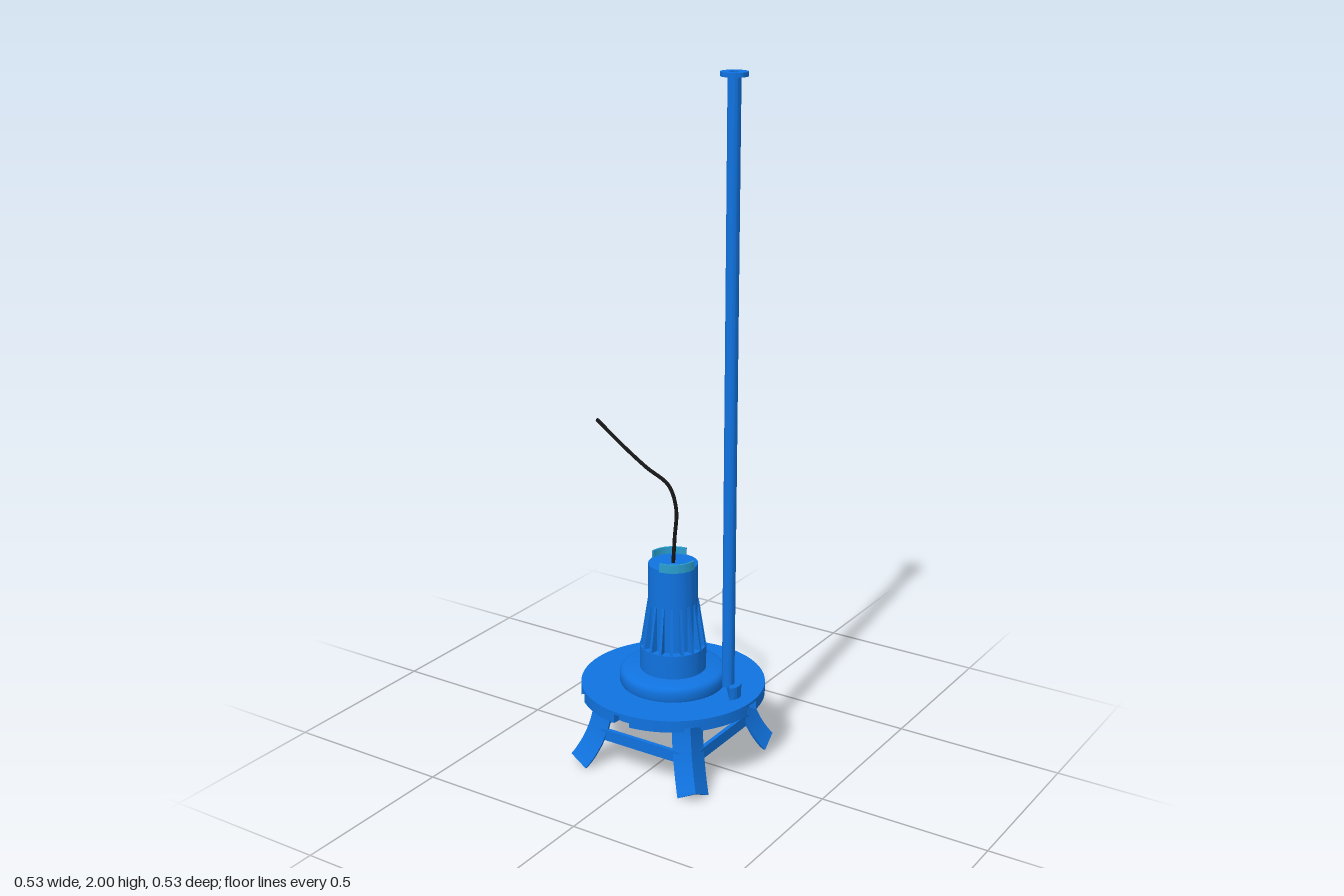
import * as THREE from 'three';
import { toCreasedNormals } from 'three/addons/utils/BufferGeometryUtils.js';

const blue = new THREE.MeshStandardMaterial({ color: 0x1073e0 });
const teal = new THREE.MeshStandardMaterial({ color: 0x2a9fd0 });
const black = new THREE.MeshStandardMaterial({ color: 0x151515 });

export function createModel() {
  const model = new THREE.Group();
  const add = (name, geo, mat = blue, parent = model) => {
    const mesh = new THREE.Mesh(geo, mat);
    mesh.name = name;
    parent.add(mesh);
    return mesh;
  };
  const lathe = (pts, seg = 64) => toCreasedNormals(
    new THREE.LatheGeometry(pts.map(([x, y]) => new THREE.Vector2(x, y)), seg), 0.6);
  // Flat shape lifted to stand between two heights
  const slab = (shape, y0, y1, curveSegments = 24) => toCreasedNormals(
    new THREE.ExtrudeGeometry(shape, { depth: y1 - y0, bevelEnabled: false, curveSegments })
      .rotateX(-Math.PI / 2).translate(0, y0, 0), 0.6);

  // Base plate: round cover over a body with eight notches in the rim
  add('basePlateCover', new THREE.CylinderGeometry(0.267, 0.267, 0.008, 72).translate(0, 0.236, 0));
  const notched = new THREE.Shape();
  const half = 0.094;
  for (let i = 0; i < 8; i++) {
    const a = i * Math.PI / 4;
    notched.absarc(0, 0, 0.245, a - half, a + half, false);
    notched.absarc(0, 0, 0.267, a + half, a + Math.PI / 4 - half, false);
  }
  add('basePlateBody', slab(notched, 0.205, 0.232, 10));

  // Pump casing with rounded shoulder
  add('pumpCasing', lathe([[0, 0.24], [0.153, 0.24], [0.155, 0.245], [0.155, 0.265],
    [0.153, 0.274], [0.147, 0.281], [0.138, 0.284], [0, 0.284]]));

  // Tapered outlet from the casing to the riser pipe
  const px = 0.187, pr = 0.0375;
  const a = Math.acos((0.153 - pr) / px);
  const outlet = new THREE.Shape();
  outlet.moveTo(0.153 * Math.cos(a), -0.153 * Math.sin(a));
  outlet.absarc(px, 0, pr, -a, a, false);
  outlet.lineTo(0.153 * Math.cos(a), 0.153 * Math.sin(a));
  add('outlet', slab(outlet, 0.24, 0.277));

  // Open riser pipe
  add('riserPipe', lathe([[0.014, 0.27], [0.018, 0.27], [0.018, 2], [0.014, 2], [0.014, 0.27]].reverse()
    .reverse(), 28)).position.x = px;

  // Top flange with bolt holes
  const ring = new THREE.Shape().absarc(0, 0, 0.037, 0, Math.PI * 2, false);
  const hole = (x, y, r) => ring.holes.push(new THREE.Path().absarc(x, y, r, 0, Math.PI * 2, true));
  hole(0, 0, 0.0165);
  for (const sx of [-1, 1]) for (const sy of [-1, 1]) hole(sx * 0.02, sy * 0.02, 0.0035);
  add('pipeFlange', slab(ring, 1.988, 2)).position.x = px;

  // Motor housing
  add('motorHousing', lathe([[0, 0.284], [0.096, 0.284], [0.096, 0.355], [0.073, 0.355],
    [0.071, 0.605], [0, 0.605]]));

  // Cooling fins tapering into the housing
  const finShape = new THREE.Shape([[0.06, 0.355], [0.095, 0.355], [0.074, 0.49], [0.06, 0.49]]
    .map(([x, y]) => new THREE.Vector2(x, y)));
  const finGeo = new THREE.ExtrudeGeometry(finShape, { depth: 0.008, bevelEnabled: false })
    .translate(0, 0, -0.004);
  const fins = new THREE.Group();
  fins.name = 'coolingFins';
  model.add(fins);
  for (let i = 0; i < 18; i++) add('fin', finGeo, blue, fins).rotation.y = i * Math.PI / 9;

  // Two raised arcs on the motor top
  for (const start of [Math.PI / 2, Math.PI * 1.5]) {
    const arc = new THREE.Shape();
    arc.absarc(0, 0, 0.072, start, start + Math.PI / 2, false);
    arc.absarc(0, 0, 0.067, start + Math.PI / 2, start, true);
    add('topRimArc', slab(arc, 0.6, 0.626), teal);
  }

  // Power cable
  const path = new THREE.CatmullRomCurve3([[0, 0.6], [0.005, 0.68], [0.01, 0.77], [-0.015, 0.835],
    [-0.09, 0.875], [-0.17, 0.925], [-0.257, 0.986]].map(([x, y]) => new THREE.Vector3(x, y, 0)));
  add('cable', new THREE.TubeGeometry(path, 60, 0.0055, 10), black);
  const end = add('cableEnd', new THREE.SphereGeometry(0.0055, 10, 8), black);
  end.position.set(-0.257, 0.986, 0);

  // Legs: angle section swept outward along an arc
  const w = 0.045, t = 0.011;
  const angle = new THREE.Shape([[0, 0], [w, -w], [w + t / 2, -w + t / 2], [t, 0],
    [w + t / 2, w - t / 2], [w, w]].map(([x, y]) => new THREE.Vector2(x, y)));
  const bent = new THREE.ExtrudeGeometry(angle, { depth: 1, steps: 14, bevelEnabled: false });
  const p = bent.attributes.position;
  for (let i = 0; i < p.count; i++) {
    const x = p.getX(i), q = p.getZ(i) * 0.71, R = 0.29;
    p.setXYZ(i, 0.233 + R * (1 - Math.cos(q)) - x * Math.cos(q),
      Math.max(0, 0.22 - R * Math.sin(q) - x * Math.sin(q)), -p.getY(i));
  }
  const legGeo = toCreasedNormals(bent, 0.5);
  for (let i = 0; i < 4; i++) {
    add('leg', legGeo).rotation.y = Math.PI / 4 + i * Math.PI / 2;
    // Flat brace between neighbouring legs
    const brace = new THREE.Group();
    brace.name = 'legBrace';
    brace.rotation.y = i * Math.PI / 2;
    add('braceBar', new THREE.BoxGeometry(0.27, 0.034, 0.012).translate(0, 0.102, 0.172), blue, brace);
    model.add(brace);
  }
  return model;
}
